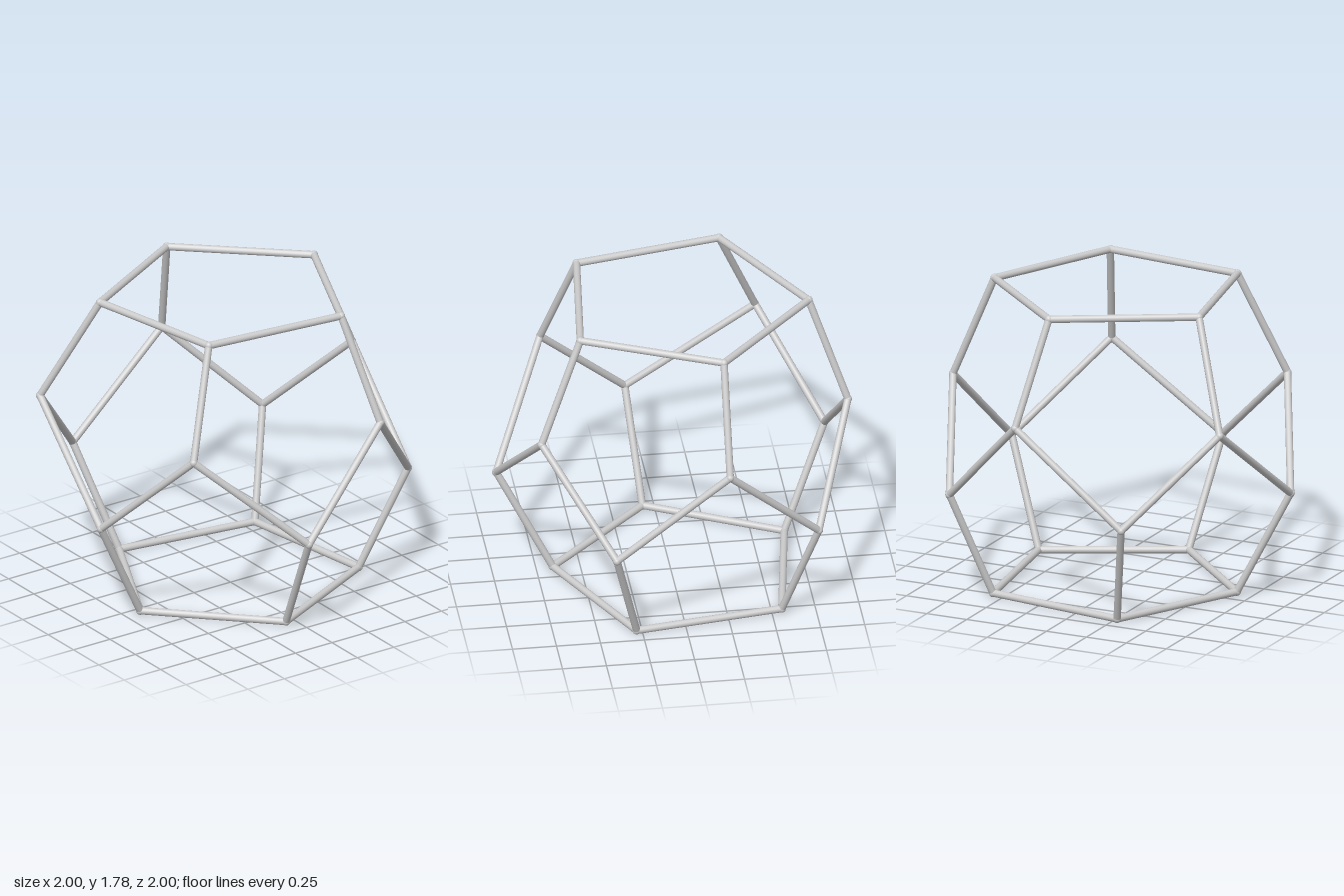
import * as THREE from 'three';

const ROD = 0.021, JOINT = 0.0235;

// Corner rings as [x, z], in matching angular order
const RINGS = {
  top: { y: 1.763, pts: [[0.098, -0.77], [0.715, -0.206], [0.366, 0.563], [-0.476, 0.47], [-0.643, -0.362]] },
  upper: { y: 1.163, pts: [[0.208, -0.978], [0.975, -0.206], [0.472, 0.797], [-0.703, 0.647], [-0.889, -0.6]] },
  lower: { y: 0.633, pts: [[0.735, -0.742], [0.918, 0.429], [-0.139, 0.972], [-0.977, 0.128], [-0.434, -0.932]] },
  bottom: { y: 0.025, pts: [[0.553, -0.556], [0.679, 0.285], [-0.078, 0.659], [-0.668, 0.07], [-0.288, -0.684]] },
};

export function createModel() {
  const model = new THREE.Group();
  model.name = 'dodecahedronFrame';
  const material = new THREE.MeshStandardMaterial({ color: 0xcccccc });
  const rodGeometry = new THREE.CylinderGeometry(ROD, ROD, 1, 16, 1, true);
  const jointGeometry = new THREE.SphereGeometry(JOINT, 16, 12);
  const up = new THREE.Vector3(0, 1, 0);

  // Round rod between two corners
  function addRod(name, a, b) {
    const rod = new THREE.Mesh(rodGeometry, material);
    const dir = b.clone().sub(a);
    rod.name = name;
    rod.position.copy(a).add(b).multiplyScalar(0.5);
    rod.scale.y = dir.length();
    rod.quaternion.setFromUnitVectors(up, dir.normalize());
    model.add(rod);
  }

  // Rounded joint at every corner
  const corners = {};
  for (const [name, { y, pts }] of Object.entries(RINGS)) {
    corners[name] = pts.map(([x, z]) => new THREE.Vector3(x, y, z));
    for (const p of corners[name]) {
      const joint = new THREE.Mesh(jointGeometry, material);
      joint.name = name + 'Joint';
      joint.position.copy(p);
      model.add(joint);
    }
  }

  // Top and bottom pentagons, slanted struts and the zigzag belt
  const { top, upper, lower, bottom } = corners;
  for (let i = 0; i < 5; i++) {
    const next = (i + 1) % 5;
    addRod('topRod', top[i], top[next]);
    addRod('upperStrut', top[i], upper[i]);
    addRod('beltRod', upper[i], lower[i]);
    addRod('beltRod', lower[i], upper[next]);
    addRod('lowerStrut', lower[i], bottom[i]);
    addRod('bottomRod', bottom[i], bottom[next]);
  }
  return model;
}
